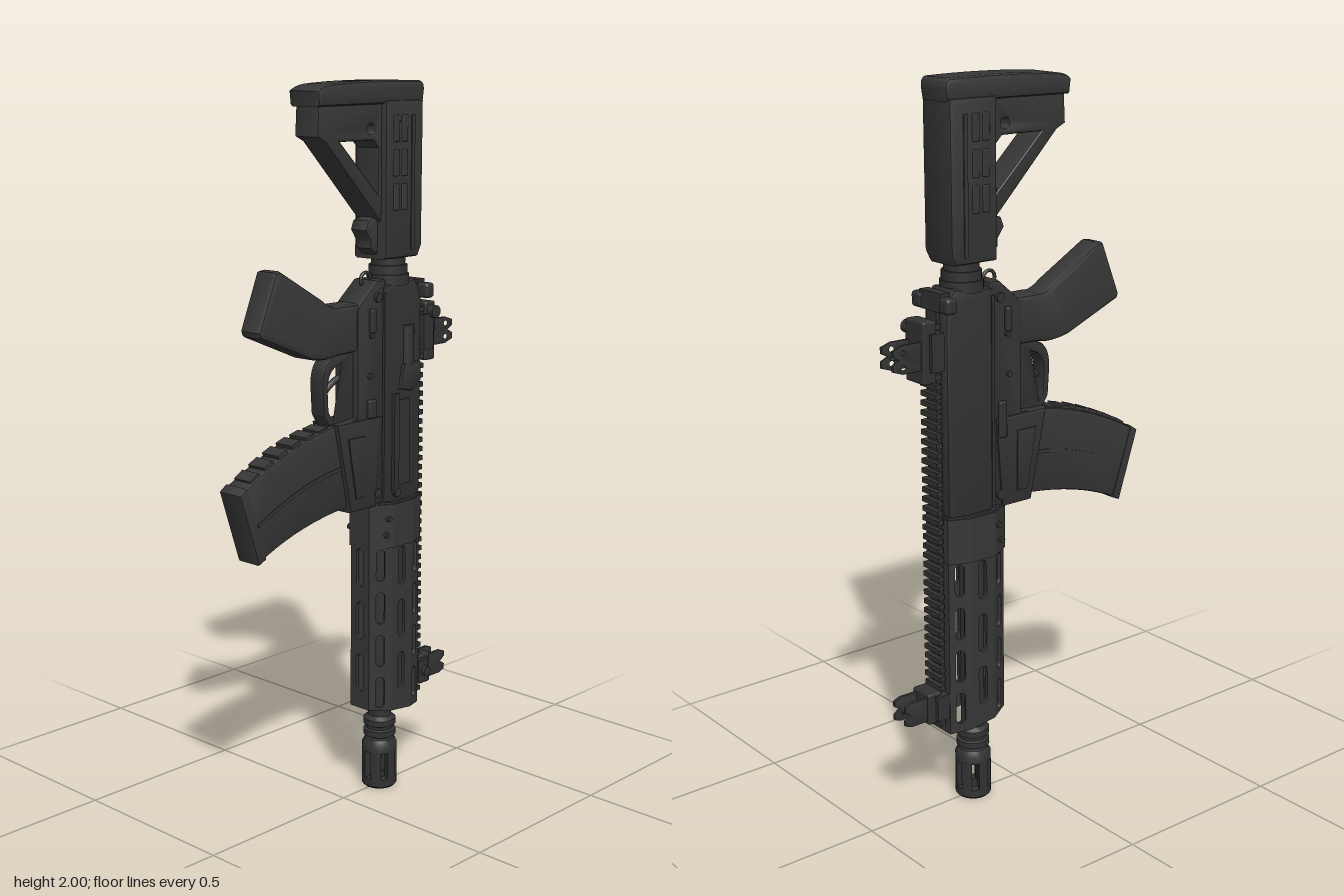
import * as THREE from 'three';
import { toCreasedNormals } from 'three/addons/utils/BufferGeometryUtils.js';
import { RoundedBoxGeometry } from 'three/addons/geometries/RoundedBoxGeometry.js';

const polymer = new THREE.MeshStandardMaterial({ color: 0x363636 });
polymer.name = 'charcoal polymer';
const metal = new THREE.MeshStandardMaterial({ color: 0x323232 });
metal.name = 'dark metal';

export function createModel() {
  const root = new THREE.Group();
  root.name = 'rifle';

  const add = (name, geo, mat = polymer, x = 0, y = 0, z = 0) => {
    const m = new THREE.Mesh(geo, mat);
    m.name = name;
    m.position.set(x, y, z);
    root.add(m);
    return m;
  };
  const box = (name, x, y, z, w, h, d, mat = metal) => add(name, new THREE.BoxGeometry(w, h, d), mat, x, y, z);
  const round = (name, x, y, z, w, h, d, r, mat = polymer) => add(name, new RoundedBoxGeometry(w, h, d, 3, r), mat, x, y, z);

  // Side profile in [z, y], extruded across x; a four-number entry is a curve [controlZ, controlY, z, y]
  const trace = (path, pts) => {
    pts.forEach((p, i) => {
      if (i === 0) path.moveTo(-p[0], p[1]);
      else if (p.length === 4) path.quadraticCurveTo(-p[0], p[1], -p[2], p[3]);
      else path.lineTo(-p[0], p[1]);
    });
    path.closePath();
    return path;
  };
  const profile = (name, pts, width, { bevel = 0.008, holes = [], dots = [], mat = polymer, x = 0 } = {}) => {
    const s = trace(new THREE.Shape(), pts);
    holes.forEach(h => s.holes.push(trace(new THREE.Path(), h)));
    dots.forEach(([z, y, r]) => s.holes.push(new THREE.Path().absarc(-z, y, r, 0, Math.PI * 2, true)));
    const g = new THREE.ExtrudeGeometry(s, {
      depth: width - 2 * bevel, bevelEnabled: bevel > 0, bevelThickness: bevel, bevelSize: bevel,
      bevelOffset: -bevel, bevelSegments: 2, curveSegments: 10,
    });
    g.translate(0, 0, bevel - width / 2).rotateY(Math.PI / 2);
    return add(name, toCreasedNormals(g, 0.6), mat, x);
  };
  // Turned parts in [radius, y] about a vertical axis
  const lathe = (name, pts, z, mat = metal) =>
    add(name, toCreasedNormals(new THREE.LatheGeometry(pts.map(p => new THREE.Vector2(...p)), 28), 0.6), mat, 0, 0, z);
  // Pin across x
  const pin = (name, x, y, z, r, len) =>
    add(name, new THREE.CylinderGeometry(r, r, len, 16).rotateZ(Math.PI / 2), metal, x, y, z);

  // ---- Stock
  profile('buttPad', [[-0.255, 1.94], [0.145, 1.935], [0.15, 1.975], [0.14, 1.988, 0.10, 1.992], [-0.05, 2.004, -0.25, 1.998], [-0.262, 1.99, -0.26, 1.97]], 0.112, { bevel: 0.014 });
  profile('stockBody', [[-0.1, 1.95], [-0.1, 1.53], [-0.235, 1.53], [-0.25, 1.56], [-0.252, 1.95]], 0.12, { bevel: 0.014 });
  profile('stockToe', [[-0.11, 1.95], [0.135, 1.945], [0.14, 1.86], [0.11, 1.845], [-0.1, 1.63], [-0.11, 1.63]], 0.085, {
    holes: [[[0.055, 1.845], [-0.07, 1.845], [-0.09, 1.825], [-0.09, 1.705]]],
    dots: [[0.112, 1.887, 0.012], [-0.062, 1.875, 0.013]],
  });
  profile('stockLever', [[-0.11, 1.65], [-0.065, 1.635], [-0.055, 1.61], [-0.075, 1.58], [-0.075, 1.56], [-0.11, 1.535]], 0.06);
  for (const s of [-1, 1]) {
    for (const z of [-0.14, -0.172]) for (let i = 0; i < 3; i++)
      round('stockSidePad', s * 0.06, 1.875 - i * 0.09, z, 0.008, 0.07, 0.022, 0.003);
    box('stockSideRidge', s * 0.06, 1.73, -0.205, 0.006, 0.36, 0.012, polymer);
  }

  // ---- Stock tube and locking nut
  lathe('stockTube', [[0.001, 1.455], [0.058, 1.455], [0.058, 1.485], [0.053, 1.485], [0.053, 1.51], [0.047, 1.51], [0.047, 1.6], [0.001, 1.6]], -0.175);
  const loop = add('slingLoop', new THREE.TorusGeometry(0.019, 0.005, 8, 20), metal, 0, 1.475, -0.085);
  loop.rotation.y = Math.PI / 2;

  // ---- Receiver
  profile('upperReceiver', [[-0.105, 1.46], [-0.105, 0.85], [-0.25, 0.85], [-0.262, 0.87], [-0.262, 1.43], [-0.235, 1.47]], 0.1, { bevel: 0.014, mat: metal });
  profile('lowerReceiver', [[-0.12, 1.475], [-0.085, 1.475], [-0.02, 1.42], [-0.01, 1.4], [-0.01, 1.11], [0.07, 1.1], [0.022, 0.855], [-0.07, 0.85], [-0.12, 0.86]], 0.088, { mat: metal });
  profile('magazineWell', [[-0.1, 1.105], [0.075, 1.105], [0.022, 0.852], [-0.08, 0.852]], 0.1, { bevel: 0.01, mat: metal });
  profile('triggerGuard', [[-0.02, 1.295], [0.04, 1.29], [0.105, 1.285, 0.105, 1.21], [0.1, 1.13], [0.075, 1.09], [-0.02, 1.09]], 0.05, {
    bevel: 0.005, mat: metal,
    holes: [[[-0.012, 1.262], [0.035, 1.262], [0.083, 1.255, 0.085, 1.2], [0.082, 1.14], [0.066, 1.112], [-0.012, 1.112]]],
  });
  const triggerPath = new THREE.QuadraticBezierCurve3(
    new THREE.Vector3(0, 1.225, -0.02), new THREE.Vector3(0, 1.225, 0.04), new THREE.Vector3(0, 1.185, 0.078));
  add('trigger', new THREE.TubeGeometry(triggerPath, 12, 0.009, 8), metal);

  // Ejection port, door, deflector and forward assist on the left side
  box('ejectionPort', 0.05, 1.02, -0.185, 0.008, 0.24, 0.05);
  box('portDoor', 0.054, 1.02, -0.15, 0.012, 0.28, 0.02);
  pin('doorHinge', 0.053, 0.88, -0.155, 0.012, 0.016);
  profile('caseDeflector', [[-0.165, 1.17], [-0.18, 1.24], [-0.25, 1.24], [-0.25, 1.185], [-0.215, 1.16]], 0.03, { mat: metal, x: 0.045 });
  add('forwardAssist', new THREE.CylinderGeometry(0.022, 0.022, 0.11, 16), metal, 0.042, 1.29, -0.205);
  round('magazineRelease', 0.048, 1.13, -0.06, 0.016, 0.05, 0.03, 0.005, metal);
  round('boltCatch', -0.05, 1.1, -0.08, 0.014, 0.1, 0.025, 0.005, metal);
  for (const s of [-1, 1]) {
    for (const [y, z, r] of [[1.43, -0.085, 0.013], [1.33, -0.06, 0.008], [1.22, -0.055, 0.008], [0.89, -0.085, 0.013]])
      pin('receiverPin', s * 0.045, y, z, r, 0.014);
    round('safetyLever', s * 0.05, 1.37, -0.06, 0.016, 0.065, 0.018, 0.005, metal);
    box('receiverSeam', s * 0.048, 1.15, -0.112, 0.008, 0.58, 0.01);
    profile('magazineWellPanel', [[-0.03, 1.06], [0.035, 1.06], [0.005, 0.89], [-0.03, 0.89]], 0.006, { bevel: 0.002, mat: metal, x: s * 0.051 });
    round('chargingHandleWing', s * 0.058, 1.435, -0.264, 0.042, 0.042, 0.034, 0.01, metal);
  }
  box('chargingHandle', 0, 1.44, -0.262, 0.09, 0.05, 0.028);

  // ---- Grip
  profile('pistolGrip', [[-0.03, 1.42], [0.05, 1.42], [0.08, 1.415, 0.11, 1.44], [0.265, 1.53], [0.285, 1.528], [0.345, 1.38], [0.34, 1.365], [0.16, 1.29], [0.1, 1.275, 0.06, 1.287], [-0.03, 1.29]], 0.078, { bevel: 0.014 });

  // ---- Magazine
  profile('magazine', [[0.0, 1.1], [0.075, 1.1], [0.25, 1.07, 0.42, 0.972], [0.355, 0.778], [0.2, 0.855, 0.0, 0.868]], 0.074, { bevel: 0.008 });
  profile('magazineFloor', [[0.398, 0.988], [0.421, 0.972], [0.357, 0.775], [0.33, 0.787]], 0.082, { bevel: 0.006 });
  for (let i = 0; i < 6; i++) {
    const t = i / 5, z = 0.11 + 0.25 * t;
    const rib = box('magazineRib', 0, 1.091 - 0.03 * t - 0.056 * t * t, z, 0.06, 0.012, 0.034, polymer);
    rib.rotation.x = 0.18 + 0.36 * t;
  }
  for (const s of [-1, 1])
    profile('magazineSideRidge', [[0.05, 0.985], [0.2, 0.97, 0.36, 0.885], [0.357, 0.876], [0.2, 0.96, 0.05, 0.975]], 0.006, { bevel: 0, x: s * 0.037 });

  // ---- Handguard: eight slotted plates around the barrel
  const ring = [[-0.035, -0.066], [0.035, -0.066], [0.068, -0.125], [0.068, -0.205], [0.045, -0.262], [-0.045, -0.262], [-0.068, -0.205], [-0.068, -0.125]];
  const endY = z => 0.243 + (z + 0.165) * 0.12;
  ring.forEach(([x0, z0], i) => {
    const [x1, z1] = ring[(i + 1) % 8];
    const len = Math.hypot(x1 - x0, z1 - z0);
    const s = new THREE.Shape();
    s.moveTo(0, endY(z0)).lineTo(len, endY(z1)).lineTo(len, 0.86).lineTo(0, 0.86).closePath();
    const centres = i === 4 ? [] : i % 2 ? [0.305, 0.43, 0.555, 0.68] : [0.36, 0.515, 0.67];
    const half = i % 2 ? 0.046 : 0.055, r = i % 2 ? 0.013 : 0.014;
    for (const c of centres) {
      const h = new THREE.Path();
      h.absarc(len / 2, c + half - r, r, 0, Math.PI, false);
      h.absarc(len / 2, c - half + r, r, Math.PI, Math.PI * 2, false);
      h.closePath();
      s.holes.push(h);
    }
    const g = new THREE.ExtrudeGeometry(s, { depth: 0.01, bevelEnabled: false, curveSegments: 6 }).translate(0, 0, -0.01);
    const u = new THREE.Vector3((x1 - x0) / len, 0, (z1 - z0) / len);
    const n = new THREE.Vector3(-u.z, 0, u.x);
    g.applyMatrix4(new THREE.Matrix4().makeBasis(u, new THREE.Vector3(0, 1, 0), n).setPosition(x0, 0, z0));
    add('handguardPlate', g);
  });
  const collar = new THREE.Shape(ring.map(([x, z]) => new THREE.Vector2(x * 1.06, -(z + 0.165) * 1.03)));
  add('handguardCollar', new THREE.ExtrudeGeometry(collar, { depth: 0.125, bevelEnabled: false }).rotateX(-Math.PI / 2), polymer, 0, 0.73, -0.165);
  for (const s of [-1, 1]) for (const y of [0.77, 0.815]) pin('collarScrew', s * 0.07, y, -0.1 - (y - 0.77) * 0.2, 0.008, 0.01);

  // ---- Top rail
  box('railBase', 0, 0.85, -0.266, 0.042, 1.2, 0.014);
  for (let y = 0.265; y < 1.4; y += 0.0265) box('railTooth', 0, y, -0.278, 0.068, 0.014, 0.018);

  // ---- Barrel and muzzle device
  lathe('barrel', [[0.012, 0.11], [0.034, 0.11], [0.034, 0.15], [0.046, 0.155], [0.046, 0.172], [0.038, 0.176], [0.038, 0.184], [0.046, 0.188], [0.046, 0.205], [0.033, 0.215], [0.033, 0.86], [0.001, 0.86]], -0.15);
  lathe('muzzleCollar', [[0.001, 0.108], [0.05, 0.108], [0.05, 0.13], [0.042, 0.145], [0.03, 0.15]], -0.15);
  lathe('muzzleRing', [[0.022, 0.027], [0.022, 0], [0.045, 0], [0.05, 0.006], [0.05, 0.027], [0.022, 0.027]], -0.15);
  for (let i = 0; i < 6; i++) {
    const a = i * Math.PI / 3 + Math.PI / 2, b = a + Math.PI / 3;
    const s = new THREE.Shape();
    s.absarc(0, 0, 0.05, a + 0.21, b - 0.21, false);
    s.absarc(0, 0, 0.022, b - 0.47, a + 0.47, true);
    s.closePath();
    const g = new THREE.ExtrudeGeometry(s, { depth: 0.084, bevelEnabled: false, curveSegments: 6 }).rotateX(-Math.PI / 2);
    add('muzzleProng', toCreasedNormals(g, 0.6), metal, 0, 0.026, -0.15);
  }

  // ---- Rear sight
  box('rearSightClamp', 0, 1.315, -0.29, 0.1, 0.1, 0.04);
  round('rearSightBase', 0, 1.315, -0.308, 0.08, 0.165, 0.042, 0.006, metal);
  pin('rearSightKnob', 0.045, 1.37, -0.31, 0.018, 0.03);
  box('rearSightPost', 0, 1.308, -0.35, 0.014, 0.035, 0.06);
  add('rearSightAperture', new THREE.TorusGeometry(0.011, 0.004, 8, 20).rotateX(Math.PI / 2), metal, 0, 1.308, -0.39);
  // ---- Front sight
  box('frontSightClamp', 0, 0.32, -0.285, 0.096, 0.07, 0.04);
  round('frontSightBase', 0, 0.32, -0.305, 0.074, 0.09, 0.045, 0.006, metal);
  pin('frontSightScrew', 0.045, 0.32, -0.29, 0.014, 0.03);
  add('frontSightPost', new THREE.CylinderGeometry(0.005, 0.005, 0.07, 10).rotateX(Math.PI / 2), metal, 0, 0.32, -0.355);
  // Protective ears of both sights
  for (const x of [-0.025, 0.025]) {
    profile('rearSightEar', [[-0.31, 1.27], [-0.31, 1.345], [-0.385, 1.345], [-0.415, 1.335], [-0.415, 1.318], [-0.395, 1.308], [-0.415, 1.298], [-0.415, 1.28], [-0.385, 1.27]], 0.009,
      { bevel: 0.001, mat: metal, x, dots: [[-0.385, 1.327, 0.008], [-0.385, 1.289, 0.008]] });
    profile('frontSightEar', [[-0.31, 0.285], [-0.31, 0.355], [-0.38, 0.355], [-0.4, 0.347], [-0.4, 0.332], [-0.382, 0.32], [-0.4, 0.308], [-0.4, 0.293], [-0.38, 0.285]], 0.009, { bevel: 0.001, mat: metal, x });
  }
  return root;
}
